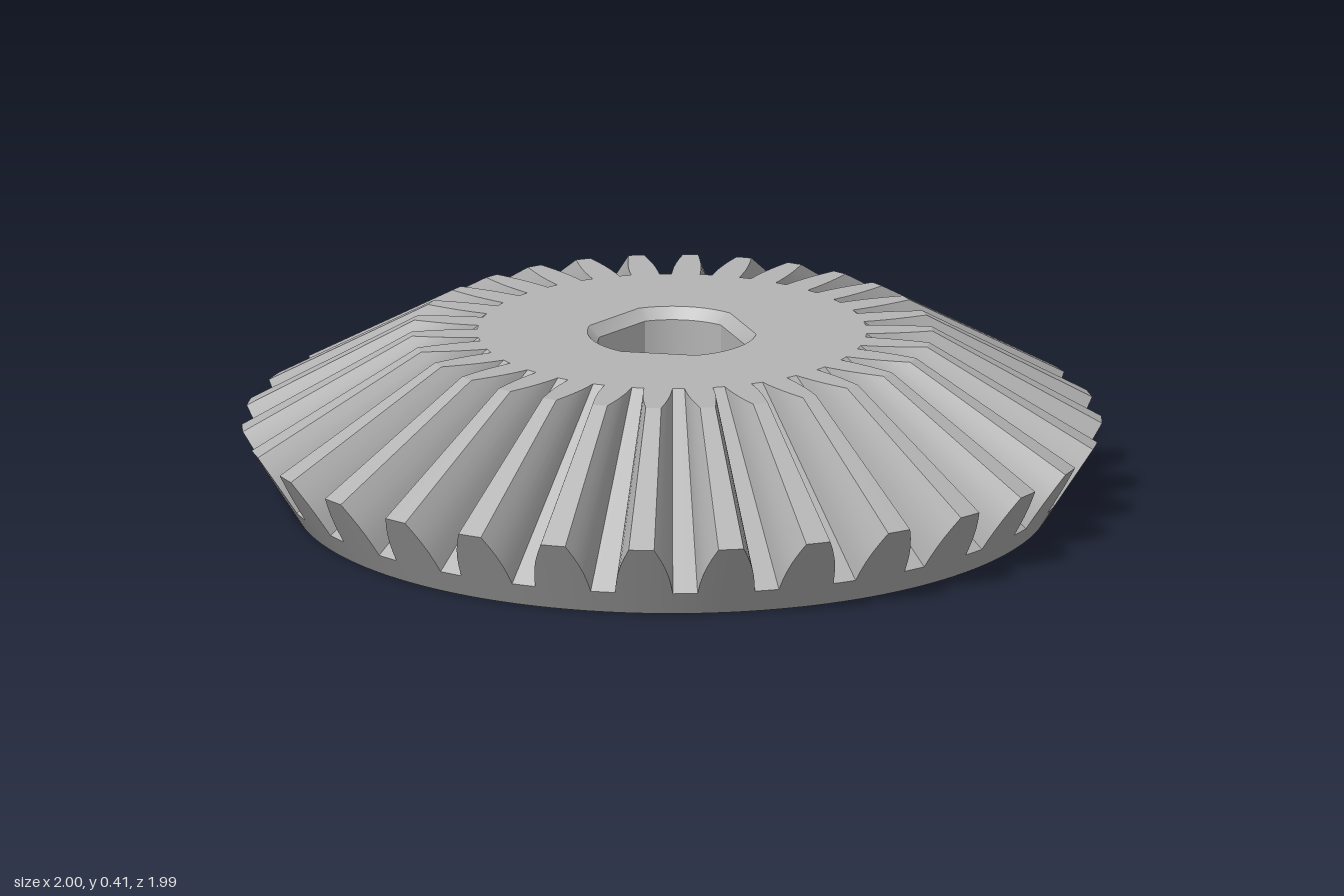
import * as THREE from 'three';
import { toCreasedNormals } from 'three/addons/utils/BufferGeometryUtils.js';

const TEETH = 30, TOP = 0.415, APEX = 0.76;
const BASE_R = 0.88, TIP_R = 1, TIP_Y = 0.19, ROOT_Y = 0.06;
const rad = THREE.MathUtils.degToRad;
const polar = (r, angle, y) => new THREE.Vector3(r * Math.cos(angle), y, -r * Math.sin(angle));

// Closed skin through loops of equal length
function loft(loops) {
  const pos = [];
  for (let k = 0; k < loops.length - 1; k++) {
    const a = loops[k], b = loops[k + 1], n = a.length;
    for (let i = 0; i < n; i++) {
      const j = (i + 1) % n;
      for (const p of [a[i], a[j], b[j], a[i], b[j], b[i]]) pos.push(p.x, p.y, p.z);
    }
  }
  const geo = new THREE.BufferGeometry();
  geo.setAttribute('position', new THREE.Float32BufferAttribute(pos, 3));
  return toCreasedNormals(geo, 0.4);
}

// Flat face with a hole, facing up or down
function cap(outline, hole, y, up) {
  const s = up ? -1 : 1;
  const flat = (loop) => loop.map((p) => new THREE.Vector2(p.x, s * p.z));
  const shape = new THREE.Shape(flat(outline));
  shape.holes.push(new THREE.Path(flat(hole)));
  return new THREE.ShapeGeometry(shape).rotateX(s * Math.PI / 2).translate(0, y, 0);
}

// Round bore with three flats, one of them at the back
function boreLoop(radius, flat, y) {
  const pts = [], half = Math.acos(flat / radius), steps = 14;
  for (const c of [90, 210, 330].map(rad)) {
    pts.push(polar(radius, c - half, y));
    const span = rad(120) - 2 * half;
    for (let i = 0; i < steps; i++) pts.push(polar(radius, c + half + span * i / steps, y));
  }
  return pts;
}

export function createModel() {
  const gear = new THREE.Group();
  gear.name = 'bevelGear';
  const grey = new THREE.MeshStandardMaterial({ color: 0xb4b4b4 });
  grey.name = 'grey';
  const add = (name, geo) => {
    const mesh = new THREE.Mesh(geo, grey);
    mesh.name = name;
    gear.add(mesh);
  };

  // Tooth profile: [height from root to tip, half angle in degrees]
  const flank = [[0, 4.2], [0.2, 3.95], [0.4, 3.6], [0.6, 3.1], [0.8, 2.45], [1, 1.7]];
  const profile = [
    [0, -6],
    ...flank.map(([h, a]) => [h, -a]),
    [1, 0],
    ...flank.map(([h, a]) => [h, a]).reverse(),
  ];

  // Outlines at the base, the wide end of the teeth and the top
  const base = [], heel = [], toe = [];
  for (let t = 0; t < TEETH; t++) {
    for (const [h, deg] of profile) {
      const angle = rad(deg + t * 360 / TEETH);
      const y = THREE.MathUtils.lerp(ROOT_Y, TIP_Y, h);
      const r = THREE.MathUtils.lerp(BASE_R, TIP_R, y / TIP_Y);
      base.push(polar(BASE_R, angle, 0));
      heel.push(polar(r, angle, y));
      // Teeth taper toward the cone apex
      toe.push(polar(r * (APEX - TOP) / (APEX - y), angle, TOP));
    }
  }
  add('backCone', loft([base, heel]));
  add('teeth', loft([heel, toe]));

  // Bore chamfered at both ends
  const rimTop = boreLoop(0.197, 0.176, TOP), rimBottom = boreLoop(0.197, 0.176, 0);
  add('bore', loft([
    rimTop, boreLoop(0.172, 0.151, TOP - 0.025), boreLoop(0.172, 0.151, 0.025), rimBottom,
  ]));

  add('topFace', cap(toe, rimTop, TOP, true));
  add('bottomFace', cap(base, rimBottom, 0, false));
  return gear;
}
